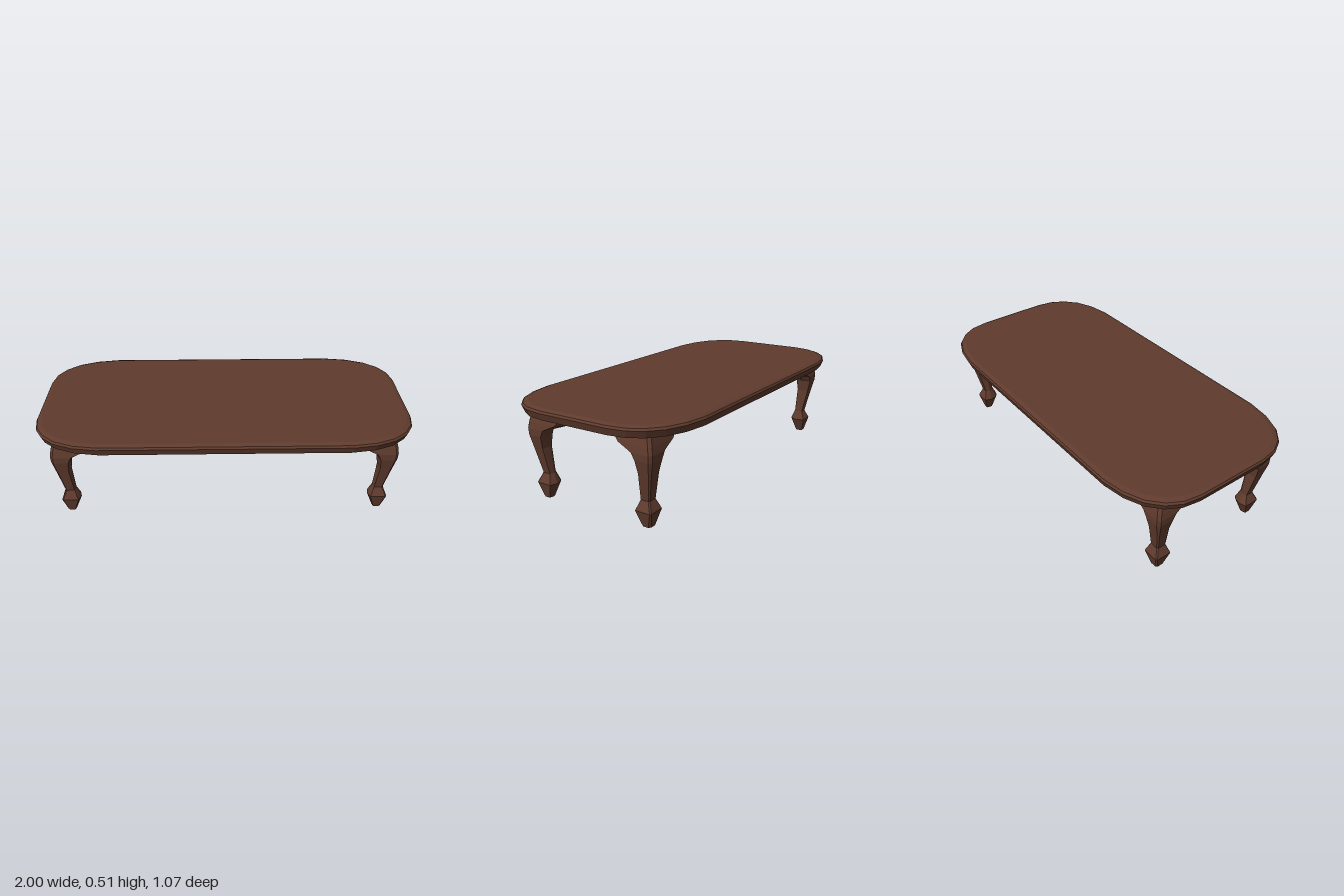
import * as THREE from 'three';

// Closed solid from rings of [x, y, z] points, flat faces, both ends capped.
function loft(rings, flip = false) {
  const pos = [];
  const tri = (a, b, c) => pos.push(...a, ...(flip ? c : b), ...(flip ? b : c));
  const n = rings[0].length;
  for (let i = 0; i < rings.length - 1; i++) {
    for (let j = 0; j < n; j++) {
      const k = (j + 1) % n;
      const a = rings[i][j], b = rings[i][k], c = rings[i + 1][k], d = rings[i + 1][j];
      tri(a, d, c);
      tri(a, c, b);
    }
  }
  const cap = (ring, up) => {
    const mid = (axis) => ring.reduce((s, p) => s + p[axis], 0) / n;
    const centre = [mid(0), ring[0][1], mid(2)];
    for (let j = 0; j < n; j++) {
      const a = ring[j], b = ring[(j + 1) % n];
      if (up) tri(centre, b, a); else tri(centre, a, b);
    }
  };
  cap(rings[0], false);
  cap(rings[rings.length - 1], true);
  const g = new THREE.BufferGeometry();
  g.setAttribute('position', new THREE.Float32BufferAttribute(pos, 3));
  g.computeVertexNormals();
  return g;
}

// Table top: rounded outline swept through a moulded edge, hollowed underneath
function topGeometry() {
  const W = 0.988, D = 0.494;
  const corner = [[W, 0.2], [0.972, 0.296], [0.93, 0.37], [0.86, 0.432], [0.76, 0.474], [0.638, D]];
  const back = [...corner].reverse();
  const outline = [
    ...corner,
    ...back.map(([x, z]) => [-x, z]),
    ...corner.map(([x, z]) => [-x, -z]),
    ...back.map(([x, z]) => [x, -z]),
  ];
  // [y, inset]
  const edge = [[0.485, 0.042], [0.457, 0.036], [0.457, 0.013], [0.493, 0], [0.504, 0.006], [0.512, 0.027]];
  return loft(edge.map(([y, i]) => outline.map(([x, z]) => [x * (1 - i / W), y, z * (1 - i / D)])));
}

// Curved leg with two bracket wings, symmetric about its diagonal, with a sharp outer ridge.
// y, outer face, ridge chamfer, wing reach, wing thickness, wing tip taper, inner corner m and n
const LEG = [
  [0, 0.025, 0.01, 0.02, 0.02, 0.006, -0.008, 0.018],
  [0.08, 0.045, 0.006, 0.055, 0.04, 0.012, -0.03, 0.045],
  [0.13, 0.023, 0.006, 0.033, 0.022, 0.008, -0.014, 0.028],
  [0.27, 0.052, 0.01, 0.023, 0.045, 0.008, -0.008, 0.019],
  [0.335, 0.067, 0.014, 0.034, 0.055, 0.012, -0.008, 0.03],
  [0.37, 0.069, 0.014, 0.06, 0.055, 0.02, 0, 0.045],
  [0.405, 0.063, 0.014, 0.155, 0.04, 0.04, 0.01, 0.07],
  [0.457, 0.05, 0.014, 0.215, 0.03, 0.05, 0.012, 0.1],
  [0.487, 0.05, 0.014, 0.215, 0.03, 0.05, 0.012, 0.1],
];

function legGeometry(sx, sz) {
  const rings = LEG.map(([y, o, c, L, t, s, m, n]) =>
    [[o, o - c], [o - c, o], [s - L, o], [-L, o - t], [-n, m], [m, -n], [o - t, -L], [o, s - L]]
      .map(([a, b]) => [sx * (0.835 + a), y, sz * (0.307 + b)]));
  return loft(rings, sx * sz < 0);
}

export function createModel() {
  const wood = new THREE.MeshStandardMaterial({ color: 0x5f3b2d, flatShading: true });
  wood.name = 'dark brown wood';

  const group = new THREE.Group();
  group.name = 'coffeeTable';
  const add = (name, geometry) => {
    const mesh = new THREE.Mesh(geometry, wood);
    mesh.name = name;
    group.add(mesh);
  };

  add('tableTop', topGeometry());
  for (const sx of [1, -1]) {
    for (const sz of [1, -1]) {
      add((sz > 0 ? 'front' : 'back') + (sx > 0 ? 'Left' : 'Right') + 'Leg', legGeometry(sx, sz));
    }
  }

  // The table stands slightly turned
  group.rotation.y = 0.066;
  return group;
}
